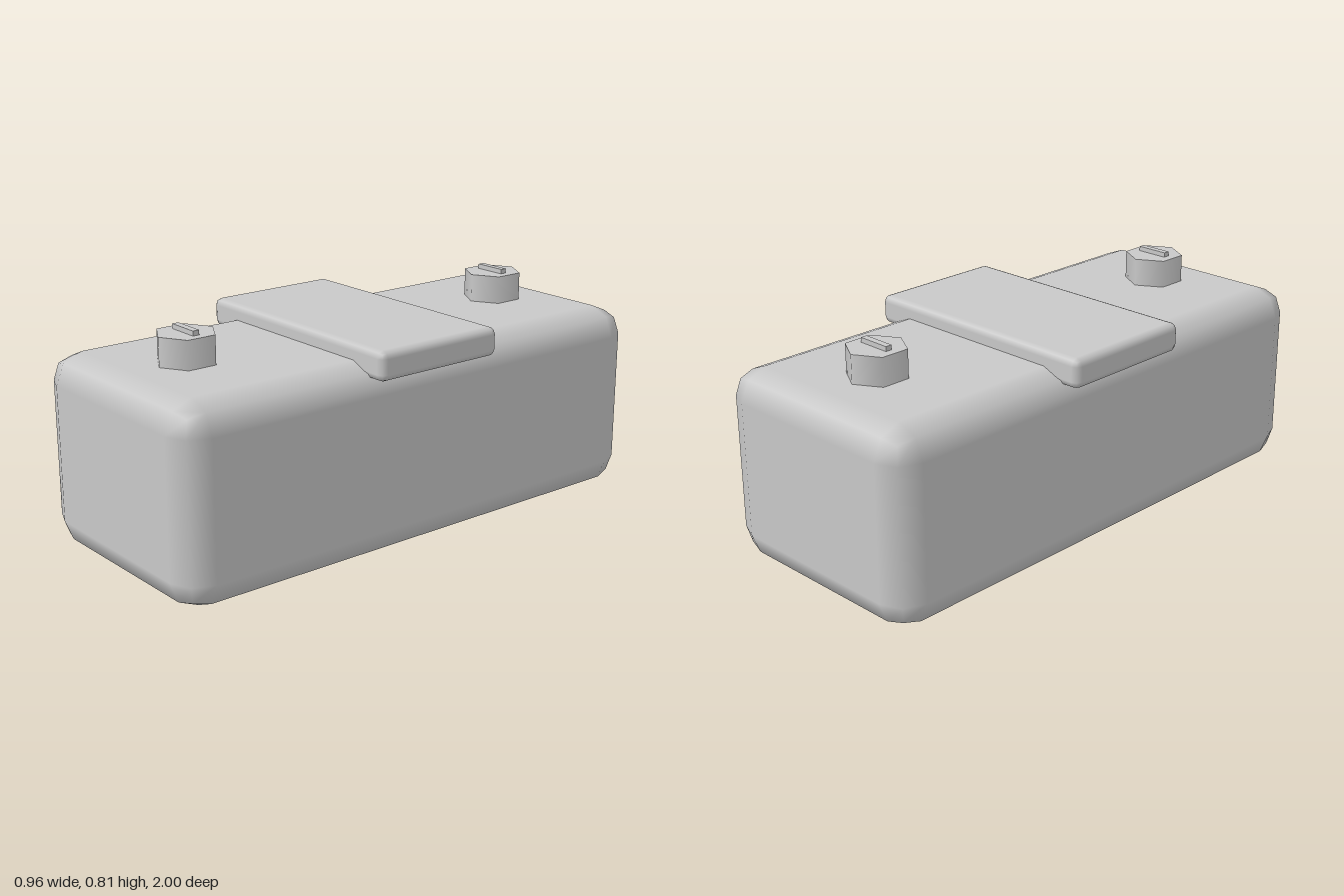
import * as THREE from 'three';
import { RoundedBoxGeometry } from 'three/addons/geometries/RoundedBoxGeometry.js';

export function createModel() {
  const group = new THREE.Group();
  const grey = new THREE.MeshStandardMaterial({ color: 0xc8c8c8 });
  grey.name = 'grey';

  const add = (name, geometry, x, y, z, parent = group) => {
    const mesh = new THREE.Mesh(geometry, grey);
    mesh.name = name;
    mesh.position.set(x, y, z);
    parent.add(mesh);
    return mesh;
  };

  // Long case with softly bevelled edges
  add('body', new RoundedBoxGeometry(0.87, 0.695, 2, 1, 0.105), 0, 0.3475, 0);

  // Flat band lying across the middle of the top
  add('topBand', new RoundedBoxGeometry(0.956, 0.106, 0.52, 1, 0.026), 0, 0.698, 0);

  // Hexagonal cap with a raised grip at each end
  for (const [side, z] of [['front', 0.695], ['back', -0.695]]) {
    const cap = new THREE.Group();
    cap.name = side + 'Cap';
    cap.position.set(0, 0, z);
    group.add(cap);
    add('capBody', new THREE.CylinderGeometry(0.107, 0.107, 0.12, 6), 0, 0.737, 0, cap);
    add('capGrip', new THREE.BoxGeometry(0.122, 0.03, 0.024), 0, 0.799, 0, cap);
  }

  return group;
}
